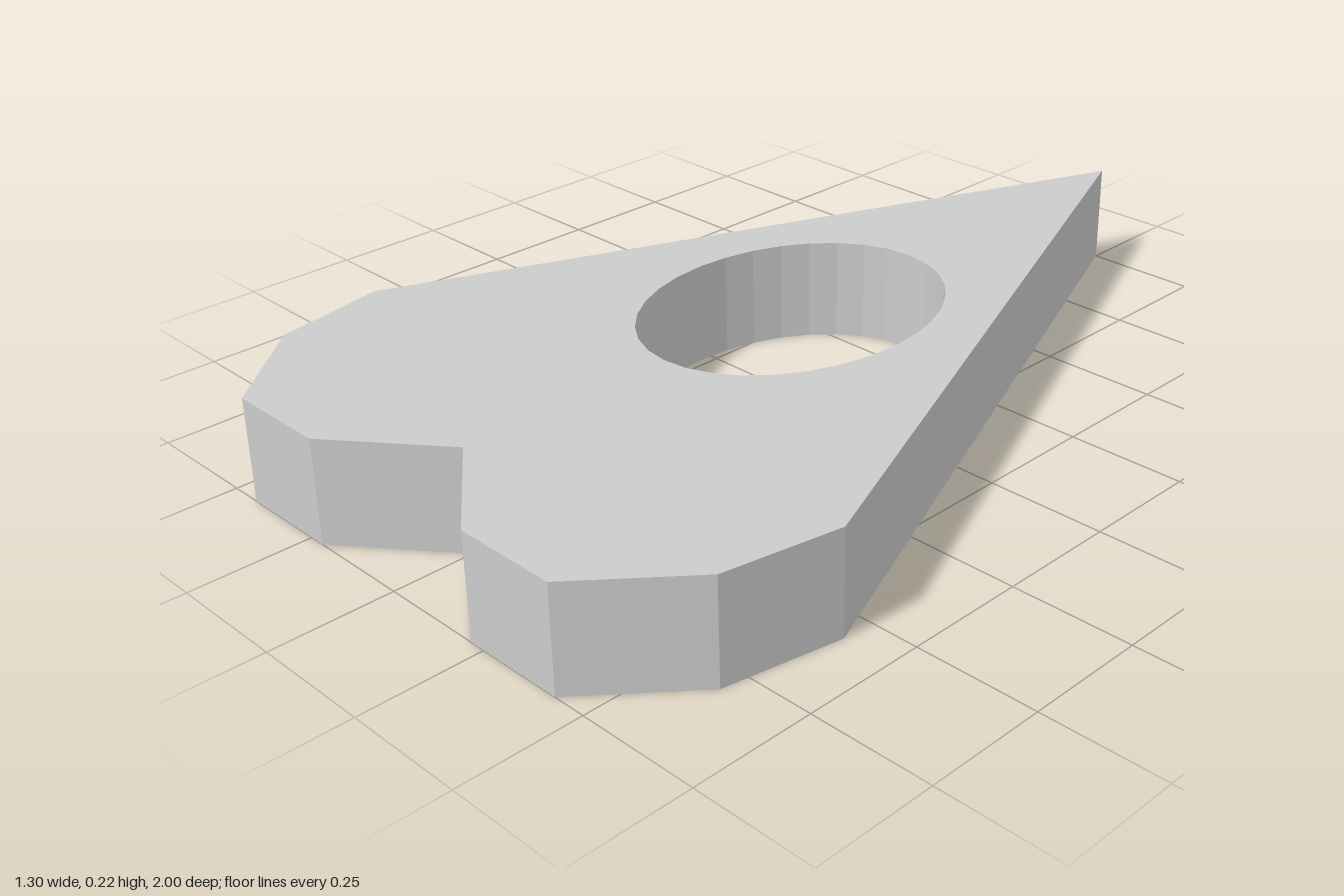
import * as THREE from 'three';

const HEIGHT = 0.215;

// Half outline on the +x side as [x, z], from the rear tip to the front notch
const HALF = [[0, -1], [0.648, 0.565], [0.603, 0.804], [0.432, 1], [0.216, 1], [0, 0.833]];

export function createModel() {
  const group = new THREE.Group();
  group.name = 'pointedPlate';

  // Mirror the half outline into a closed shape (shape y is -z)
  const mirrored = HALF.slice(1, -1).reverse().map(([x, z]) => [-x, z]);
  const shape = new THREE.Shape([...HALF, ...mirrored].map(([x, z]) => new THREE.Vector2(x, -z)));

  // Oval opening, wound against the clockwise outline so its wall faces inward
  const hole = new THREE.Path();
  hole.absellipse(0, -0.023, 0.268, 0.344, 0, Math.PI * 2, false);
  shape.holes.push(hole);

  // Flat-sided slab lying on the ground
  const geometry = new THREE.ExtrudeGeometry(shape, {
    depth: HEIGHT, bevelEnabled: false, curveSegments: 16,
  });
  geometry.rotateX(-Math.PI / 2);

  const plate = new THREE.Mesh(
    geometry,
    new THREE.MeshStandardMaterial({ color: 0xcccccc, flatShading: true }),
  );
  plate.name = 'plate';
  group.add(plate);
  return group;
}
